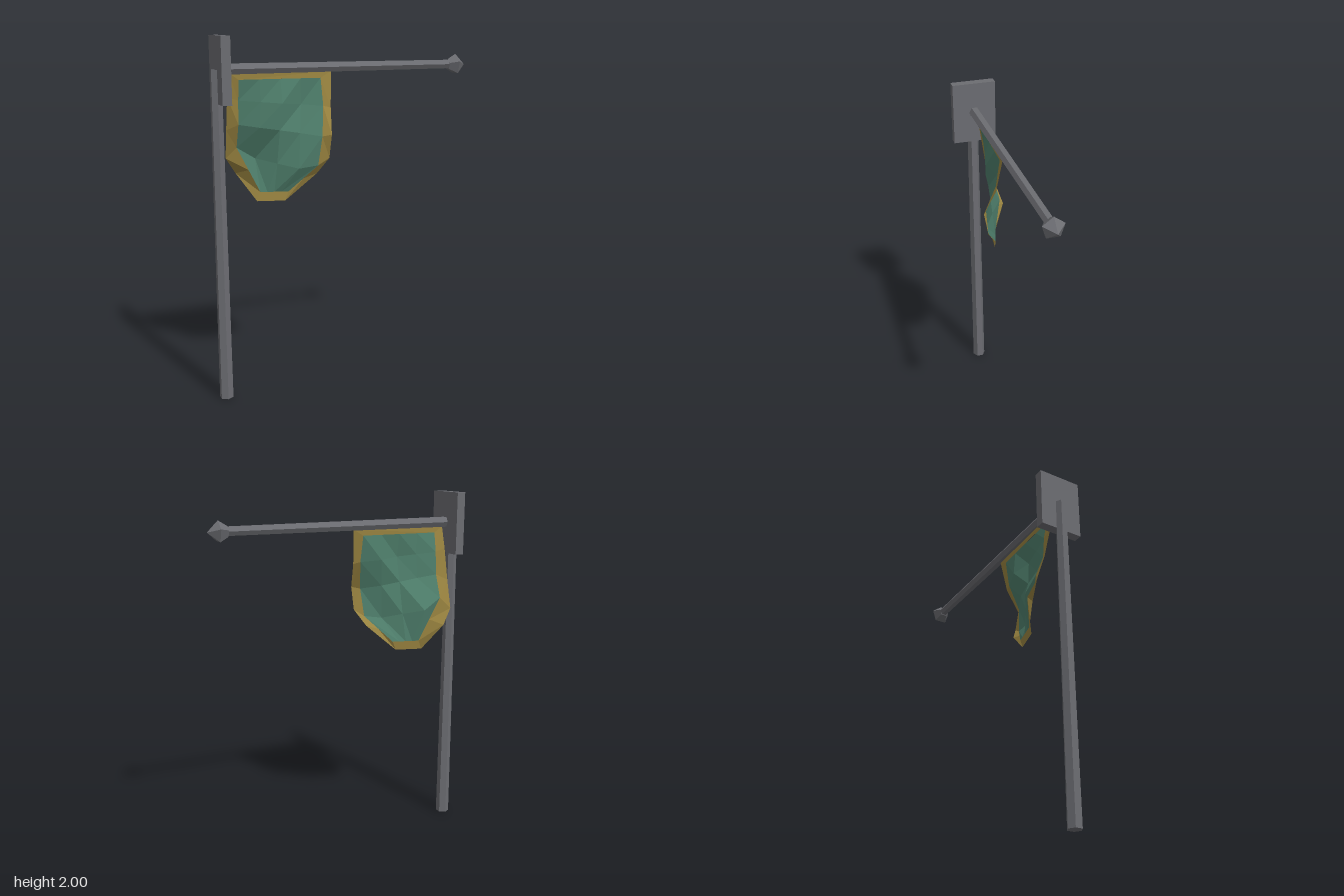
import * as THREE from 'three';

const material = (color, side = THREE.FrontSide) =>
  new THREE.MeshStandardMaterial({ color, side, flatShading: true });

// Joins rows of points into a sheet of quads, each split into two triangles.
function sheet(rows) {
  const cols = rows[0].length;
  const positions = rows.flat(2);
  const index = [];
  for (let r = 0; r < rows.length - 1; r++) {
    for (let c = 0; c < cols - 1; c++) {
      const a = r * cols + c, b = a + 1, d = a + cols, e = d + 1;
      index.push(a, d, b, b, d, e);
    }
  }
  const geometry = new THREE.BufferGeometry();
  geometry.setAttribute('position', new THREE.Float32BufferAttribute(positions, 3));
  geometry.setIndex(index);
  geometry.computeVertexNormals();
  return geometry;
}

const between = (a, b) => a.map((v, i) => (v + b[i]) / 2);

export function createModel() {
  const group = new THREE.Group();
  const metal = material(0x6c6d72);
  const add = (name, geometry, mat, x = 0, y = 0, z = 0) => {
    const mesh = new THREE.Mesh(geometry, mat);
    mesh.name = name;
    mesh.position.set(x, y, z);
    group.add(mesh);
    return mesh;
  };

  // Upright post and the plate that holds the crossbar
  add('post', new THREE.CylinderGeometry(0.032, 0.039, 1.825, 6), metal, -0.725, 0.9125, 0.011);
  add('mountingPlate', new THREE.BoxGeometry(0.05, 0.35, 0.25), metal, -0.7, 1.825, 0.01);

  // Crossbar, tapering slightly towards its pointed five-sided end
  const bar = add('crossbar', new THREE.CylinderGeometry(0.027, 0.032, 1.36, 6), metal, -0.02, 1.828, 0.01);
  bar.rotation.z = -Math.PI / 2;
  const profile = [[0, 0], [0.03, 0], [0.06, 0.05], [0, 0.11]].map(p => new THREE.Vector2(...p));
  const finial = add('finial', new THREE.LatheGeometry(profile, 5, -Math.PI / 2), metal, 0.645, 1.825, 0.01);
  finial.rotation.z = -Math.PI / 2;

  // Cloth field: each row gives left x, y and right x, y, then depth across the folds
  const rows = [
    [-0.6, 1.77, -0.145, 1.77, [0, 0.004, 0.008, 0.011, 0.015]],
    [-0.6, 1.66, -0.14, 1.62, [-0.02, 0.005, 0.03, 0, 0.04]],
    [-0.6, 1.53, -0.165, 1.46, [-0.03, 0, 0.015, 0.035, 0.09]],
    [-0.6, 1.4, -0.185, 1.3, [-0.08, -0.085, -0.01, 0.055, 0.075]],
    [-0.48, 1.15, -0.33, 1.15, [-0.05, -0.04, -0.03, -0.02, -0.01]],
  ].map(([xl, yl, xr, yr, depth], r) => depth.map((z, c) => {
    const t = c / 4;
    const sag = r === 3 && c > 0 && c < 4 ? -0.04 : 0;
    return [xl + (xr - xl) * t, yl + (yr - yl) * t + sag, z];
  }));
  add('bannerCloth', sheet(rows), material(0x4f7f6c, THREE.DoubleSide));

  // Border: a closed strip from the edge of the field to the outer hem
  const left = rows.map(r => r[0]);
  const right = rows.map(r => r[4]);
  const withCorner = side => [...side.slice(0, 4), between(side[3], side[4]), side[4]];
  const inner = [...withCorner(left), ...withCorner(right).reverse()];
  const outer = [
    [-0.65, 1.805, 0], [-0.66, 1.68, -0.02], [-0.66, 1.5, -0.06], [-0.655, 1.34, -0.11],
    [-0.595, 1.25, -0.135], [-0.5, 1.1, -0.05],
    [-0.35, 1.1, -0.01], [-0.18, 1.25, 0.04],
    [-0.125, 1.34, 0.09], [-0.12, 1.47, 0.115], [-0.1, 1.61, 0.05], [-0.085, 1.805, 0.015],
  ];
  add('bannerBorder', sheet([[...inner, inner[0]], [...outer, outer[0]]]),
    material(0x9a8440, THREE.DoubleSide));

  return group;
}
